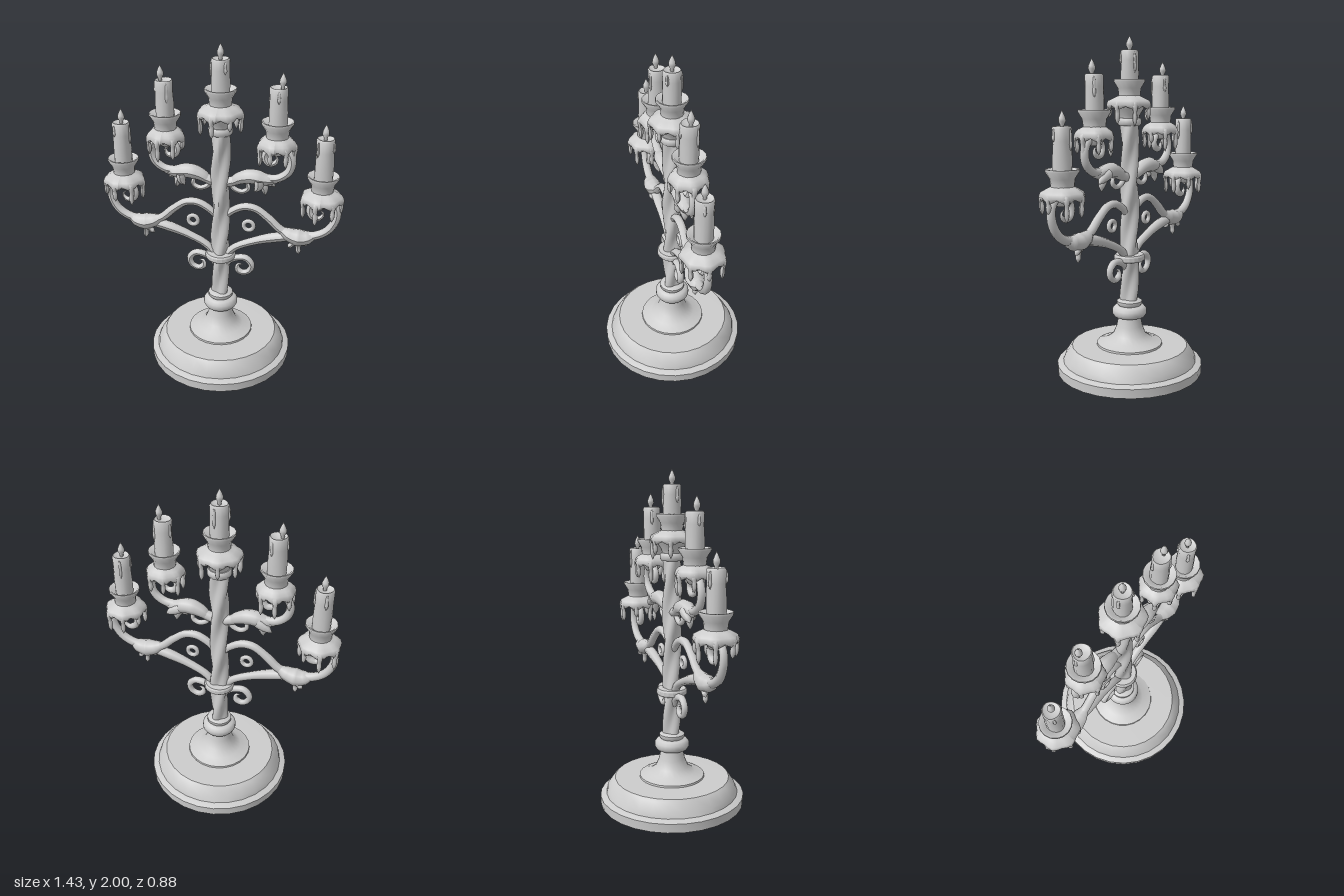
import * as THREE from 'three';
import { toCreasedNormals } from 'three/addons/utils/BufferGeometryUtils.js';

const metal = new THREE.MeshStandardMaterial({ color: 0xcccccc });
metal.name = 'pale grey';

function add(parent, name, geo, x = 0, y = 0, z = 0) {
  const m = new THREE.Mesh(geo, metal);
  m.name = name;
  m.position.set(x, y, z);
  parent.add(m);
  return m;
}

// Move every vertex by a rule, then refresh normals
function warp(geo, rule) {
  const p = geo.attributes.position, v = new THREE.Vector3();
  for (let i = 0; i < p.count; i++) {
    rule(v.fromBufferAttribute(p, i));
    p.setXYZ(i, v.x, v.y, v.z);
  }
  return geo;
}

const lathe = (pts, seg = 24) =>
  new THREE.LatheGeometry(pts.map(([r, y]) => new THREE.Vector2(r, y)), seg);
const creased = (geo, a = 0.6) => toCreasedNormals(geo, a);

// Tube through points whose radius follows a list of values; depth stretches it in z
function taper(pts, radii, steps = 24, sides = 8, depth = 1) {
  const curve = new THREE.CatmullRomCurve3(pts.map(([x, y, z = 0]) => new THREE.Vector3(x, y, z)));
  const geo = new THREE.TubeGeometry(curve, steps, 1, sides);
  const pos = geo.attributes.position, v = new THREE.Vector3();
  for (let i = 0; i <= steps; i++) {
    const c = curve.getPointAt(i / steps);
    const f = (i / steps) * (radii.length - 1), k = Math.min(Math.floor(f), radii.length - 2);
    const r = THREE.MathUtils.lerp(radii[k], radii[k + 1], f - k);
    for (let j = 0; j <= sides; j++) {
      const n = i * (sides + 1) + j;
      v.fromBufferAttribute(pos, n).sub(c).multiplyScalar(r);
      v.z *= depth;
      v.add(c);
      pos.setXYZ(n, v.x, v.y, v.z);
    }
  }
  geo.computeVertexNormals();
  return geo;
}

// Candle with cup, wax skirt and drips; y is the rim of the cup
function candleUnit(parent, name, x, y, skirt, height, lean, seed) {
  const g = new THREE.Group();
  g.name = name;
  g.position.set(x, y, 0);
  parent.add(g);
  add(g, 'cup', creased(lathe([[0, -0.2], [0.035, -0.195], [0.06, -0.155], [0.063, -0.09], [0.068, -0.05],
    [0.092, -0.012], [0.09, 0], [0.082, 0], [0.06, -0.025], [0, -0.03]], 16), 0.9));
  // Wax skirt with a wavy lower edge
  const s = lathe([[0.055, -0.145], [0.09, -0.165], [skirt - 0.01, -0.175], [skirt, -0.145],
    [skirt - 0.008, -0.122], [0.085, -0.105], [0.058, -0.09]], 28);
  warp(s, v => {
    const a = Math.atan2(v.z, v.x), r = Math.hypot(v.x, v.z);
    const k = 1 + 0.05 * Math.cos(7 * a) * (r > 0.08 ? 1 : 0);
    v.x *= k;
    v.z *= k;
    if (v.y < -0.16) v.y += 0.018 * (1 - Math.cos(7 * a)) * 0.6;
  });
  s.computeVertexNormals();
  add(g, 'waxSkirt', s);
  for (let i = 0; i < 7; i++) {
    const a = i * Math.PI * 2 / 7, len = 0.05 + 0.055 * Math.abs(Math.sin(i * 2.3 + seed));
    const c = Math.cos(a), d = Math.sin(a), r = skirt - 0.012;
    add(g, 'waxDrip', taper([[c * (r - 0.03), -0.125, d * (r - 0.03)], [c * r, -0.145, d * r],
      [c * r, -0.165 - len * 0.5, d * r], [c * r, -0.165 - len, d * r]],
      [0.012, 0.022, 0.016, 0.012, 0.015, 0.013, 0.001], 14, 7));
  }
  // Candle body, slightly uneven, with wax runs
  const h = height + 0.03;
  const body = lathe([[0, 0], [0.052, 0], [0.053, h * 0.35], [0.05, h * 0.7], [0.052, h - 0.01],
    [0.046, h], [0.036, h - 0.008], [0, h - 0.01]], 16);
  warp(body, v => {
    const k = 1 + 0.035 * Math.sin(3 * Math.atan2(v.z, v.x) + 14 * v.y + seed);
    v.x *= k;
    v.z *= k;
  });
  add(g, 'candle', creased(body, 0.8), 0, -0.03, 0);
  for (let i = 0; i < 3; i++) {
    const a = seed + i * 2.1, c = Math.cos(a) * 0.049, d = Math.sin(a) * 0.049;
    add(g, 'waxRun', taper([[c, height - 0.012, d], [c * 1.03, height - 0.05, d * 1.03],
      [c * 1.03, height - 0.08 - 0.025 * i, d * 1.03]], [0.004, 0.009, 0.008, 0.011, 0.001], 10, 6));
  }
  add(g, 'flame', lathe([[0, -0.02], [0.009, -0.015], [0.011, 0.005], [0.02, 0.025], [0.019, 0.04],
    [0.01, 0.062], [0, 0.083]], 10), lean, height, 0);
}

export function createModel() {
  const root = new THREE.Group();
  root.name = 'candelabrum';

  // Broad stepped base, faintly hammered
  const base = lathe([[0, 0], [0.44, 0], [0.442, 0.055], [0.425, 0.062], [0.405, 0.068], [0.395, 0.1],
    [0.362, 0.15], [0.35, 0.162], [0, 0.166]], 28);
  warp(base, v => {
    if (v.y > 0.09 && v.y < 0.155) {
      const k = 1 + 0.012 * Math.sin(5 * Math.atan2(v.z, v.x) + 1);
      v.x *= k;
      v.z *= k;
    }
  });
  add(root, 'base', creased(base, 0.5));
  add(root, 'foot', creased(lathe([[0.2, 0.162], [0.198, 0.175], [0.14, 0.195], [0.1, 0.225], [0.078, 0.28],
    [0.068, 0.335], [0.095, 0.342], [0.105, 0.36], [0.104, 0.385], [0.09, 0.402], [0.068, 0.408],
    [0.076, 0.418], [0.076, 0.435], [0.06, 0.445], [0, 0.445]], 24), 0.9));

  // Twisted column
  const column = new THREE.CylinderGeometry(0.05, 0.05, 1.08, 24, 90, true);
  warp(column, v => {
    const a = Math.atan2(v.z, v.x);
    const k = 1 + 0.17 * Math.cos(3 * a + 17 * v.y) + 0.04 * Math.sin(2 * a - 11 * v.y);
    v.x *= k;
    v.z *= k;
  });
  column.computeVertexNormals();
  add(root, 'column', column, 0, 0.975, 0);
  const collar = (name, r, y, h) => add(root, name, creased(lathe([[0.03, -h], [r - 0.008, -h],
    [r, -h * 0.5], [r, h * 0.5], [r - 0.008, h], [0.03, h]], 20), 0.7), 0, y, 0);
  collar('armCollar', 0.092, 0.705, 0.02);
  collar('topCollar', 0.07, 1.512, 0.022);

  // Middle candle on a tapered socket
  add(root, 'socket', lathe([[0.055, 1.525], [0.06, 1.55], [0.085, 1.59], [0.1, 1.62], [0.06, 1.645]], 20));
  candleUnit(root, 'middleCandle', 0, 1.755, 0.128, 0.165, 0, 0.8);

  for (const s of [1, -1]) {
    const side = new THREE.Group();
    side.name = s > 0 ? 'leftArms' : 'rightArms';
    root.add(side);
    const limb = (name, pts, radii, steps = 24, depth = 1) =>
      add(side, name, taper(pts.map(([x, y, z = 0]) => [x * s, y, z]), radii, steps, 8, depth));

    // Lower arm ending in a scroll under the outer candle
    limb('outerArm', [[0.03, 0.7], [0.09, 0.765], [0.2, 0.82], [0.32, 0.86], [0.45, 0.885], [0.57, 0.905],
      [0.64, 0.95], [0.68, 1.03], [0.675, 1.1], [0.63, 1.145], [0.57, 1.14], [0.527, 1.09], [0.535, 1.035],
      [0.58, 1.018], [0.605, 1.05], [0.58, 1.075]],
    [0.024, 0.024, 0.026, 0.032, 0.03, 0.028, 0.026, 0.024, 0.021, 0.018, 0.022, 0.001], 80);
    limb('archBranch', [[0.02, 0.96], [0.07, 1.01], [0.14, 1.045], [0.21, 1.04], [0.29, 0.985], [0.37, 0.915],
      [0.47, 0.885]], [0.02, 0.024, 0.025, 0.024, 0.026, 0.026, 0.02], 40);
    // Leaf wrapped round the joint, with hanging tips
    limb('outerLeaf', [[0.35, 0.93], [0.42, 0.89], [0.5, 0.88], [0.59, 0.91]],
      [0.012, 0.04, 0.052, 0.04, 0.004], 24, 1.1);
    for (const [x, y, z] of [[0.41, 0.815, 0.02], [0.475, 0.762, 0], [0.52, 0.815, -0.02]])
      limb('outerLeafTip', [[0.465, 0.88, z], [(x + 0.465) / 2, (y + 0.87) / 2, z], [x, y, z]],
        [0.03, 0.026, 0.02, 0.015, 0.016, 0.001], 16);

    // Upper arm ending in a scroll under the inner candle
    limb('innerArm', [[0.03, 1.19], [0.09, 1.21], [0.17, 1.235], [0.26, 1.24], [0.34, 1.25], [0.395, 1.295],
      [0.41, 1.36], [0.385, 1.415], [0.33, 1.435], [0.28, 1.42], [0.255, 1.375], [0.275, 1.338],
      [0.315, 1.34], [0.325, 1.375], [0.3, 1.385]],
    [0.03, 0.03, 0.03, 0.026, 0.025, 0.024, 0.022, 0.018, 0.021, 0.001], 70);
    limb('innerLeaf', [[0.05, 1.18], [0.11, 1.225], [0.18, 1.245], [0.26, 1.235], [0.35, 1.225]],
      [0.018, 0.035, 0.045, 0.045, 0.032, 0.003], 28, 1.05);
    for (const [x, y, z] of [[0.205, 1.16, 0.025], [0.265, 1.13, 0], [0.32, 1.18, -0.025]])
      limb('innerLeafTip', [[0.23, 1.235, z], [(x + 0.25) / 2, (y + 1.23) / 2, z], [x, y, z]],
        [0.03, 0.03, 0.026, 0.018, 0.001], 14);

    // Small curls and the loose ring
    limb('lowerCurl', [[0.03, 0.625], [0.06, 0.67], [0.11, 0.695], [0.16, 0.695], [0.193, 0.655], [0.18, 0.61],
      [0.14, 0.592], [0.108, 0.61], [0.11, 0.645], [0.14, 0.648]],
    [0.016, 0.022, 0.022, 0.021, 0.018, 0.02, 0.001], 44);
    limb('upperCurl', [[0.05, 1.195], [0.085, 1.155], [0.13, 1.143], [0.163, 1.165], [0.155, 1.198],
      [0.125, 1.19]], [0.014, 0.016, 0.016, 0.014, 0.001], 26);
    add(side, 'smallRing', new THREE.TorusGeometry(0.03, 0.014, 8, 16), 0.17 * s, 0.922, 0);

    candleUnit(side, 'outerCandle', 0.59 * s, 1.29, 0.122, 0.222, -0.003 * s, s > 0 ? 0.3 : 2.2);
    candleUnit(side, 'innerCandle', 0.322 * s, 1.59, 0.11, 0.192, 0.02 * s, s > 0 ? 1.4 : 3.1);
  }
  return root;
}
